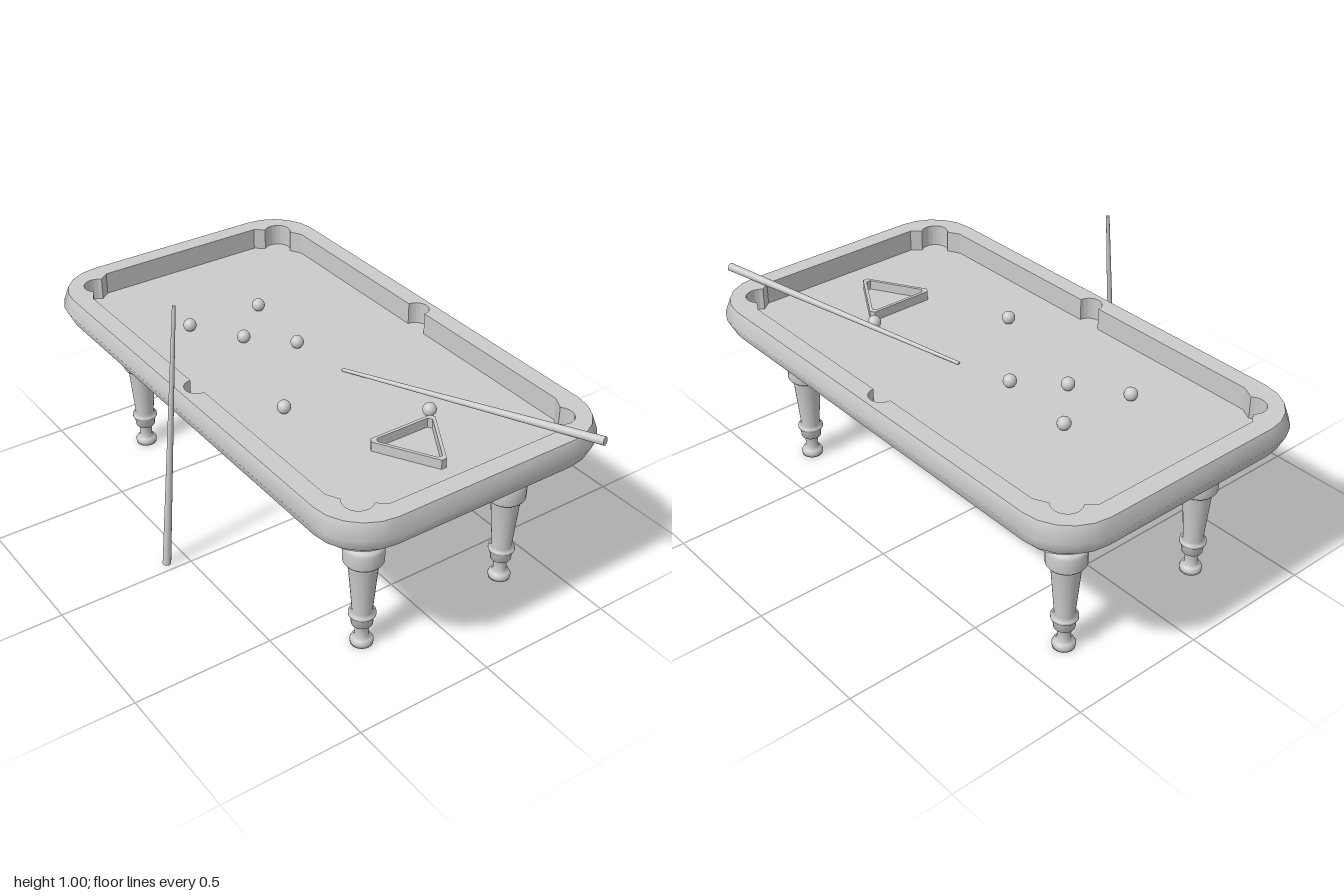
import * as THREE from 'three';

const grey = new THREE.MeshStandardMaterial({ color: 0xcccccc });
const greyBoth = new THREE.MeshStandardMaterial({ color: 0xcccccc, side: THREE.DoubleSide });

const CX = 0.04, CZ = -0.037;               // table centre on the floor
const BED = 0.593, RAIL_TOP = 0.675, RAIL_LOW = 0.57, APRON_LOW = 0.455;

function addMesh(parent, name, geometry, material = grey) {
  const mesh = new THREE.Mesh(geometry, material);
  mesh.name = name;
  parent.add(mesh);
  return mesh;
}

// Points of a rounded rectangle, as (x, z)
function roundedRect(hx, hz, r, seg) {
  const pts = [];
  [[1, 1], [-1, 1], [-1, -1], [1, -1]].forEach(([sx, sz], q) => {
    for (let i = 0; i <= seg; i++) {
      const a = (q + i / seg) * Math.PI / 2;
      pts.push(new THREE.Vector2(sx * (hx - r) + r * Math.cos(a), sz * (hz - r) + r * Math.sin(a)));
    }
  });
  return pts;
}

// Smooth outward wall through closed loops stacked from low to high: [points, y]
function loopWall(loops) {
  const pos = [], index = [], n = loops[0][0].length;
  loops.forEach(([pts, y]) => pts.forEach((p) => pos.push(p.x, y, p.y)));
  for (let k = 0; k < loops.length - 1; k++) {
    for (let i = 0; i < n; i++) {
      const a = k * n + i, b = k * n + (i + 1) % n;
      index.push(a, a + n, b, b, a + n, b + n);
    }
  }
  const g = new THREE.BufferGeometry();
  g.setAttribute('position', new THREE.Float32BufferAttribute(pos, 3));
  g.setIndex(index);
  g.computeVertexNormals();
  return g;
}

// Lay a shape flat so that its y runs along z and its depth runs downwards
const layFlat = (geometry, y) => geometry.rotateX(Math.PI / 2).translate(0, y, 0);

// Playing area outline with four corner pockets and two side pockets
function openingPoints() {
  const pts = [];
  const arc = (x, z, r, from, to) => {
    for (let i = 0; i <= 10; i++) {
      const a = from + (to - from) * i / 10;
      pts.push(new THREE.Vector2(x + r * Math.cos(a), z + r * Math.sin(a)));
    }
  };
  const corner = (sx, sz) => {
    const mid = Math.atan2(sz, sx), h = Math.PI / 2;
    const ends = [new THREE.Vector2(sx * 0.46, sz * 0.73), new THREE.Vector2(sx * 0.33, sz * 0.875)];
    if (sx * sz < 0) ends.reverse();
    pts.push(ends[0]);
    arc(sx * 0.4, sz * 0.812, 0.05, mid - h, mid + h);
    pts.push(ends[1]);
  };
  arc(0.46, 0, 0.045, -Math.PI / 2, Math.PI / 2);
  corner(1, 1);
  corner(-1, 1);
  arc(-0.46, 0, 0.045, Math.PI / 2, Math.PI * 1.5);
  corner(-1, -1);
  corner(1, -1);
  return pts;
}

function createTable() {
  const table = new THREE.Group();
  table.name = 'table';
  table.position.set(CX, 0, CZ);

  const railLoop = (inset) => roundedRect(0.546 - inset, 0.961 - inset, 0.2 - inset, 5);
  const apronLoop = roundedRect(0.42, 0.815, 0.13, 8);
  const opening = openingPoints();

  // Rail: bulging rim, flat top with cushion walls, and underside
  addMesh(table, 'railRim', loopWall([
    [railLoop(0.024), RAIL_LOW], [railLoop(0), 0.62], [railLoop(0.02), RAIL_TOP],
  ]));
  const top = new THREE.Shape(railLoop(0.02));
  top.holes.push(new THREE.Path(opening));
  addMesh(table, 'railTop', layFlat(
    new THREE.ExtrudeGeometry(top, { depth: RAIL_TOP - BED, bevelEnabled: false }), RAIL_TOP));
  const under = new THREE.Shape(railLoop(0.024));
  under.holes.push(new THREE.Path(apronLoop));
  addMesh(table, 'railUnderside', layFlat(new THREE.ShapeGeometry(under), RAIL_LOW));

  // Bed sheet and open-bottomed apron
  addMesh(table, 'bed', layFlat(new THREE.ShapeGeometry(new THREE.Shape(opening)), BED), greyBoth);
  addMesh(table, 'apron', loopWall([[apronLoop, APRON_LOW], [apronLoop, BED]]), greyBoth);

  // Turned legs
  const profile = [
    [0, 0], [0.038, 0], [0.04, 0.014], [0.034, 0.026], [0.023, 0.032], [0.023, 0.08],
    [0.036, 0.082], [0.039, 0.112], [0.046, 0.12], [0.046, 0.13], [0.034, 0.136],
    [0.051, 0.335], [0.062, 0.337], [0.068, 0.345], [0.068, 0.395], [0.06, 0.405],
    [0.049, 0.407], [0.053, 0.415], [0.053, 0.43], [0.044, 0.438], [0.044, 0.46], [0, 0.46],
  ].map(([r, y]) => new THREE.Vector2(r, y));
  const legGeometry = new THREE.LatheGeometry(profile, 24);
  for (const sx of [-1, 1]) {
    for (const sz of [-1, 1]) {
      const name = (sz > 0 ? 'front' : 'back') + (sx > 0 ? 'Left' : 'Right') + 'Leg';
      addMesh(table, name, legGeometry).position.set(sx * 0.295, 0, sz * 0.709);
    }
  }
  return table;
}

// Tapered cue from butt to tip
function addCue(parent, name, butt, tip) {
  const a = new THREE.Vector3(...butt), b = new THREE.Vector3(...tip);
  const dir = b.clone().sub(a);
  const cue = addMesh(parent, name, new THREE.CylinderGeometry(0.006, 0.015, dir.length(), 16));
  cue.position.copy(a).add(b).multiplyScalar(0.5);
  cue.quaternion.setFromUnitVectors(new THREE.Vector3(0, 1, 0), dir.normalize());
}

// Triangle with cut corners; s shrinks it towards its centre
function trianglePoints(s) {
  const corners = [[-0.14, -0.08], [0.14, -0.08], [0, 0.16]];
  const pts = [];
  corners.forEach(([x, z], i) => {
    for (const j of [(i + 2) % 3, (i + 1) % 3]) {
      const [ox, oz] = corners[j];
      pts.push(new THREE.Vector2((x + (ox - x) * 0.07) * s, (z + (oz - z) * 0.07) * s));
    }
  });
  return pts;
}

export function createModel() {
  const model = new THREE.Group();
  model.name = 'poolTable';
  model.add(createTable());

  // Balls on the bed
  const ballGeometry = new THREE.SphereGeometry(0.024, 20, 14);
  const spots = [[-0.18, -0.49], [0.105, -0.475], [-0.065, -0.31], [0.07, -0.17], [-0.205, 0.155], [0.18, 0.44]];
  spots.forEach(([x, z], i) => {
    addMesh(model, 'ball' + (i + 1), ballGeometry).position.set(x, BED + 0.024, z);
  });

  // Triangular rack
  const rack = new THREE.Shape(trianglePoints(1));
  rack.holes.push(new THREE.Path(trianglePoints(0.86)));
  addMesh(model, 'rack', layFlat(
    new THREE.ExtrudeGeometry(rack, { depth: 0.035, bevelEnabled: false }), BED + 0.035,
  )).position.set(0.028, 0, 0.56);

  // One cue lies over the rail, the other leans on the right side
  addCue(model, 'lyingCue', [0.427, 0.702, 0.99], [0.11, 0.598, 0.05]);
  addCue(model, 'leaningCue', [-0.575, 0.001, -0.037], [-0.491, 0.999, -0.037]);
  return model;
}
